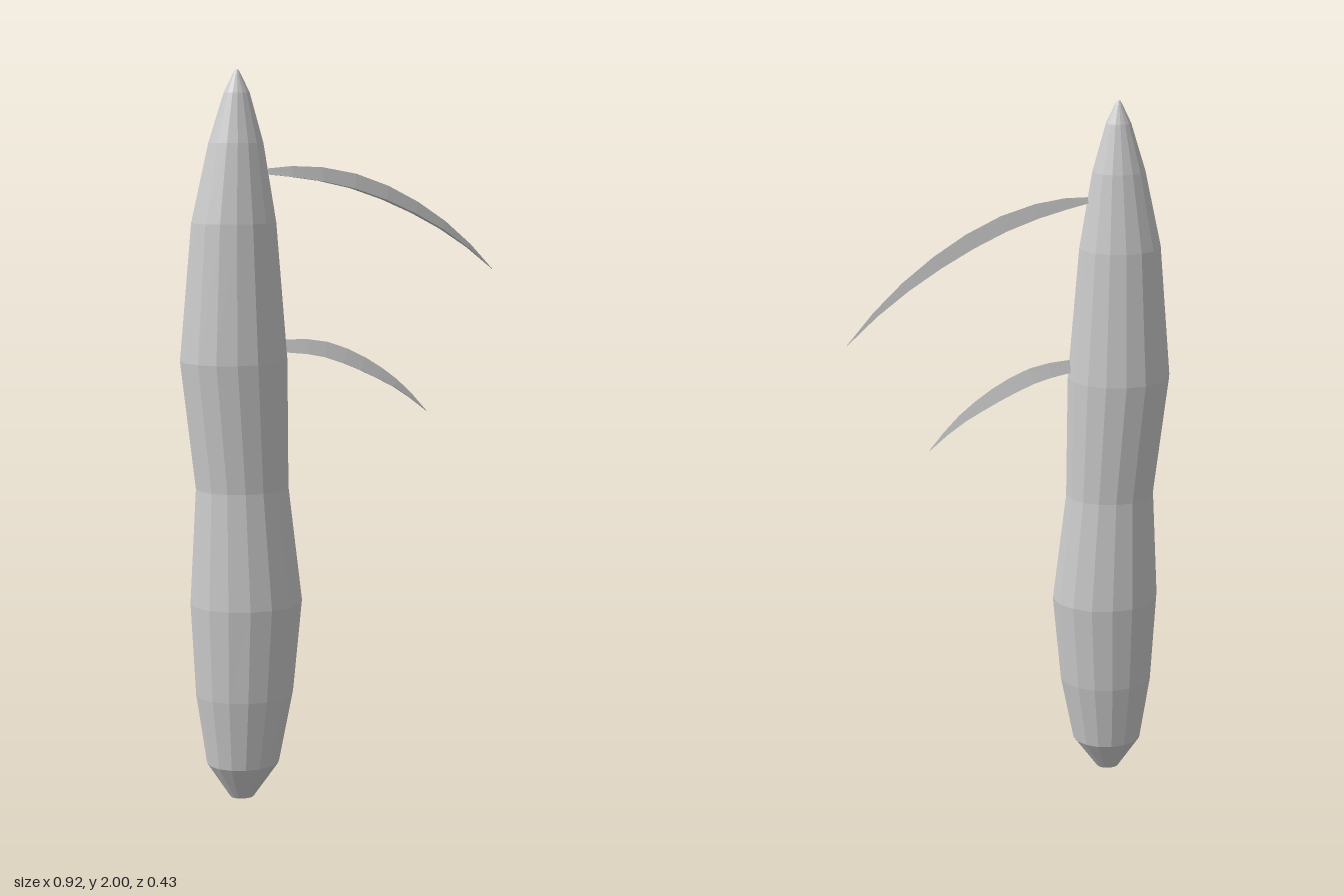
import * as THREE from 'three';

// Joins closed cross-sections (arrays of Vector3) into a capped skin
function loft(rings) {
  const n = rings[0].length, pos = [], idx = [];
  rings.forEach(r => r.forEach(p => pos.push(p.x, p.y, p.z)));
  for (let i = 0; i < rings.length - 1; i++) {
    for (let j = 0; j < n; j++) {
      const a = i * n + j, b = i * n + (j + 1) % n;
      idx.push(a, a + n, b, b, a + n, b + n);
    }
  }
  const last = (rings.length - 1) * n;
  for (let j = 1; j < n - 1; j++) {
    idx.push(0, j, j + 1, last, last + j + 1, last + j);
  }
  const g = new THREE.BufferGeometry();
  g.setAttribute('position', new THREE.Float32BufferAttribute(pos, 3));
  g.setIndex(idx);
  const flat = g.toNonIndexed();
  flat.computeVertexNormals();
  return flat;
}

export function createModel() {
  const group = new THREE.Group();
  const grey = new THREE.MeshStandardMaterial({ color: 0xcccccc, flatShading: true, side: THREE.DoubleSide });
  grey.name = 'pale grey';

  // Body levels: y, x min, x max, half depth
  const levels = [
    [0, -0.338, -0.272, 0.026], [0.1, -0.402, -0.2, 0.081], [0.3, -0.43, -0.16, 0.108],
    [0.56, -0.442, -0.134, 0.122], [0.88, -0.423, -0.17, 0.1], [1.23, -0.461, -0.171, 0.115],
    [1.6, -0.426, -0.199, 0.09], [1.81, -0.378, -0.232, 0.058], [1.94, -0.336, -0.267, 0.028],
    [1.99, -0.311, -0.291, 0.009], [2, -0.305, -0.297, 0.004],
  ];
  const sides = 16;
  const body = new THREE.Mesh(loft(levels.map(([y, x0, x1, rz]) =>
    Array.from({ length: sides }, (_, j) => {
      const a = -j / sides * Math.PI * 2;
      return new THREE.Vector3((x0 + x1) / 2 + Math.cos(a) * (x1 - x0) / 2, y, 0.09 - Math.sin(a) * rz);
    }))), grey);
  body.name = 'body';
  group.add(body);

  // Drooping blades with a ridged back; ridge points run from root to tip
  function addBlade(name, points, rootHeight, height, rootWidth, width) {
    const curve = new THREE.CatmullRomCurve3(points.map(p => new THREE.Vector3(...p)));
    const dir = curve.getPoint(1).sub(curve.getPoint(0)).setY(0).normalize();
    const side = new THREE.Vector3(-dir.z, 0, dir.x);
    const rings = [];
    for (let i = 0; i <= 8; i++) {
      const t = i / 8, p = curve.getPoint(t);
      const bulge = Math.sin(Math.PI * Math.pow(t, 0.9));
      const h = rootHeight * (1 - t) + height * bulge + 0.001;
      const w = (rootWidth * (1 - t) + width * bulge + 0.001) / 2;
      const tan = curve.getTangent(t);
      const up = new THREE.Vector3().crossVectors(side, tan).normalize();
      if (up.y < 0) up.negate();
      const low = p.clone().addScaledVector(up, -h);
      rings.push([p, low.clone().addScaledVector(side, -w), low.clone().addScaledVector(side, w)]);
    }
    const blade = new THREE.Mesh(loft(rings), grey);
    blade.name = name;
    group.add(blade);
  }
  addBlade('upperBlade', [[-0.22, 1.742, 0.087], [-0.13, 1.747, 0.05], [0, 1.731, -0.008],
    [0.13, 1.687, -0.066], [0.25, 1.622, -0.12], [0.36, 1.54, -0.168], [0.458, 1.441, -0.213]],
  0.015, 0.032, 0.012, 0.021);
  addBlade('lowerBlade', [[-0.175, 1.284, 0.086], [-0.08, 1.278, 0.064], [0.01, 1.246, 0.045],
    [0.09, 1.199, 0.029], [0.16, 1.143, 0.015], [0.23, 1.065, 0]],
  0.033, 0.021, 0.022, 0.014);

  return group;
}
